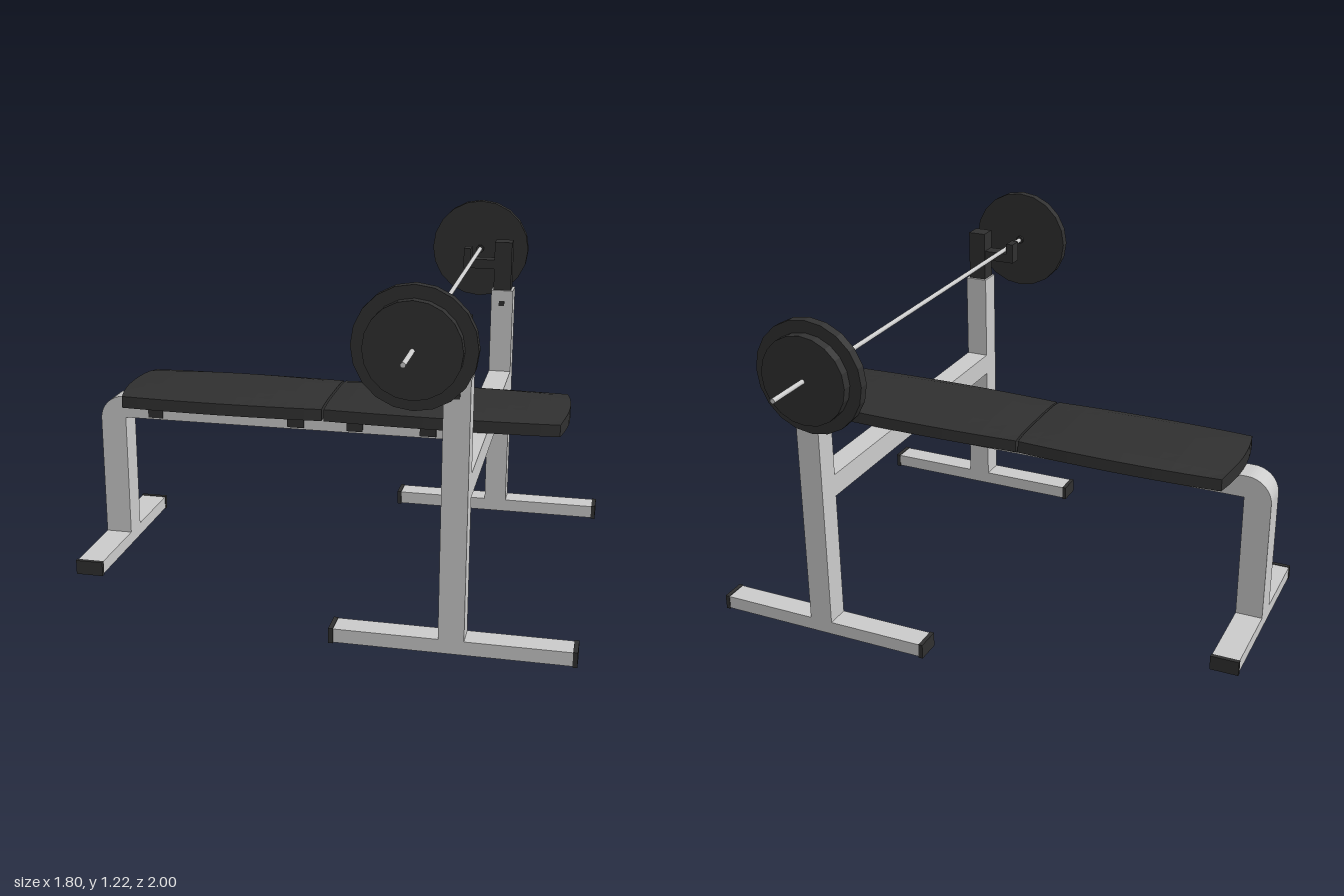
import * as THREE from 'three';

const steel = new THREE.MeshStandardMaterial({ color: 0xcccccc, flatShading: true });
const black = new THREE.MeshStandardMaterial({ color: 0x303030, flatShading: true });
const ZC = 0.007; // frame centre line

export function createModel() {
  const model = new THREE.Group();

  const add = (name, geometry, material, parent = model) => {
    const mesh = new THREE.Mesh(geometry, material);
    mesh.name = name;
    parent.add(mesh);
    return mesh;
  };
  // Box given by its limits on each axis
  const box = (name, x0, x1, y0, y1, z0, z1, material, parent) => {
    const mesh = add(name, new THREE.BoxGeometry(x1 - x0, y1 - y0, z1 - z0), material, parent);
    mesh.position.set((x0 + x1) / 2, (y0 + y1) / 2, (z0 + z1) / 2);
    return mesh;
  };
  // Cylinder lying along z
  const rod = (name, r, x, y, z0, z1, sides, material, parent) => {
    const g = new THREE.CylinderGeometry(r, r, Math.abs(z1 - z0), sides).rotateX(Math.PI / 2);
    const mesh = add(name, g, material, parent);
    mesh.position.set(x, y, (z0 + z1) / 2);
    return mesh;
  };

  // Front leg bending into the long bench beam
  const profile = new THREE.Shape();
  profile.moveTo(-0.9, 0.05);
  profile.lineTo(-0.805, 0.05);
  profile.lineTo(-0.805, 0.505);
  profile.lineTo(0.457, 0.505);
  profile.lineTo(0.457, 0.585);
  profile.lineTo(-0.81, 0.585);
  profile.absarc(-0.81, 0.495, 0.09, Math.PI / 2, Math.PI, false);
  const beam = new THREE.ExtrudeGeometry(profile, { depth: 0.096, bevelEnabled: false, curveSegments: 8 });
  add('benchBeam', beam, steel).position.z = ZC - 0.048;

  // Front foot with end caps
  box('frontFoot', -0.9, -0.805, 0.003, 0.05, ZC - 0.33, ZC + 0.33, steel);
  for (const s of [-1, 1]) {
    const a = ZC + s * 0.33, b = ZC + s * 0.345;
    box('frontFootCap', -0.902, -0.803, 0, 0.052, Math.min(a, b), Math.max(a, b), black);
  }

  // Crossbeam between the rack uprights
  box('crossbeam', 0.457, 0.54, 0.505, 0.585, ZC - 0.593, ZC + 0.593, steel);

  // Black brackets that hold the pads to the beam
  for (const [a, b] of [[-0.715, -0.66], [-0.19, -0.13], [0.028, 0.085], [0.29, 0.348]])
    box('padBracket', a, b, 0.512, 0.588, ZC - 0.053, ZC + 0.053, black);
  box('beamSleeve', 0.392, 0.457, 0.517, 0.573, ZC - 0.054, ZC + 0.054, black);

  // Padded cushions: domed top, bowed sides and bowed outer end
  const cushion = (name, x0, x1, outer) => {
    const g = new THREE.BoxGeometry(2, 1, 2, 12, 1, 8);
    const p = g.attributes.position;
    for (let i = 0; i < p.count; i++) {
      const u = p.getX(i), v = p.getZ(i), top = p.getY(i) > 0;
      const dome = (1 - u * u) * 0.6 + 0.4;
      const end = u * outer > 0 ? Math.abs(u) * v * v * 0.022 * outer : 0;
      const half = (0.187 + 0.013 * (1 - u * u)) * (top ? 0.985 : 1);
      const x = (x0 + x1) / 2 + u * (x1 - x0) / 2 - end;
      p.setXYZ(i, x, top ? 0.627 + 0.022 * dome * (1 - v * v * v * v) : 0.586, ZC - 0.004 + v * half);
    }
    g.computeVertexNormals();
    add(name, g, black);
  };
  cushion('seatPad', -0.785, -0.034, -1);
  cushion('backPad', -0.026, 0.805, 1);

  // One rack side and one weight stack at each end of the bar
  for (const s of [-1, 1]) {
    const side = new THREE.Group();
    side.name = s > 0 ? 'frontRackSide' : 'backRackSide';
    side.position.z = ZC + s * 0.633;
    model.add(side);
    box('upright', 0.457, 0.54, 0.05, 0.905, -0.041, 0.041, steel, side);
    box('rackFoot', 0.117, 0.88, 0.003, 0.05, -0.041, 0.041, steel, side);
    box('rackFootCap', 0.102, 0.117, 0, 0.052, -0.043, 0.043, black, side);
    box('rackFootCap', 0.88, 0.895, 0, 0.052, -0.043, 0.043, black, side);
    // Inner post and bar hook
    box('innerPost', 0.464, 0.53, 0.88, 1.09, -0.032, 0.032, black, side);
    box('hookBase', 0.345, 0.464, 0.985, 1.02, -0.027, 0.027, black, side);
    box('hookLip', 0.345, 0.372, 1.02, 1.06, -0.027, 0.027, black, side);
    box('pinHole', 0.487, 0.508, 0.845, 0.865, 0.03, 0.0425, black, side);

    // Large and small plates with an inner collar
    const plates = new THREE.Group();
    plates.name = 'weights';
    model.add(plates);
    const z = (d) => ZC - 0.002 + s * d;
    rod('largePlate', 0.188, 0.388, 1.03, z(0.778), z(0.81), 20, black, plates);
    rod('smallPlate', 0.148, 0.388, 1.03, z(0.81), z(0.842), 20, black, plates);
    rod('collar', 0.015, 0.388, 1.03, z(0.768), z(0.778), 12, black, plates);
  }

  // Locking pin on the back upright
  rod('lockingPin', 0.013, 0.497, 0.855, ZC - 0.688, ZC - 0.67, 10, steel);

  // Barbell shaft
  rod('barbell', 0.008, 0.388, 1.03, -1, 1, 12, steel);

  return model;
}
